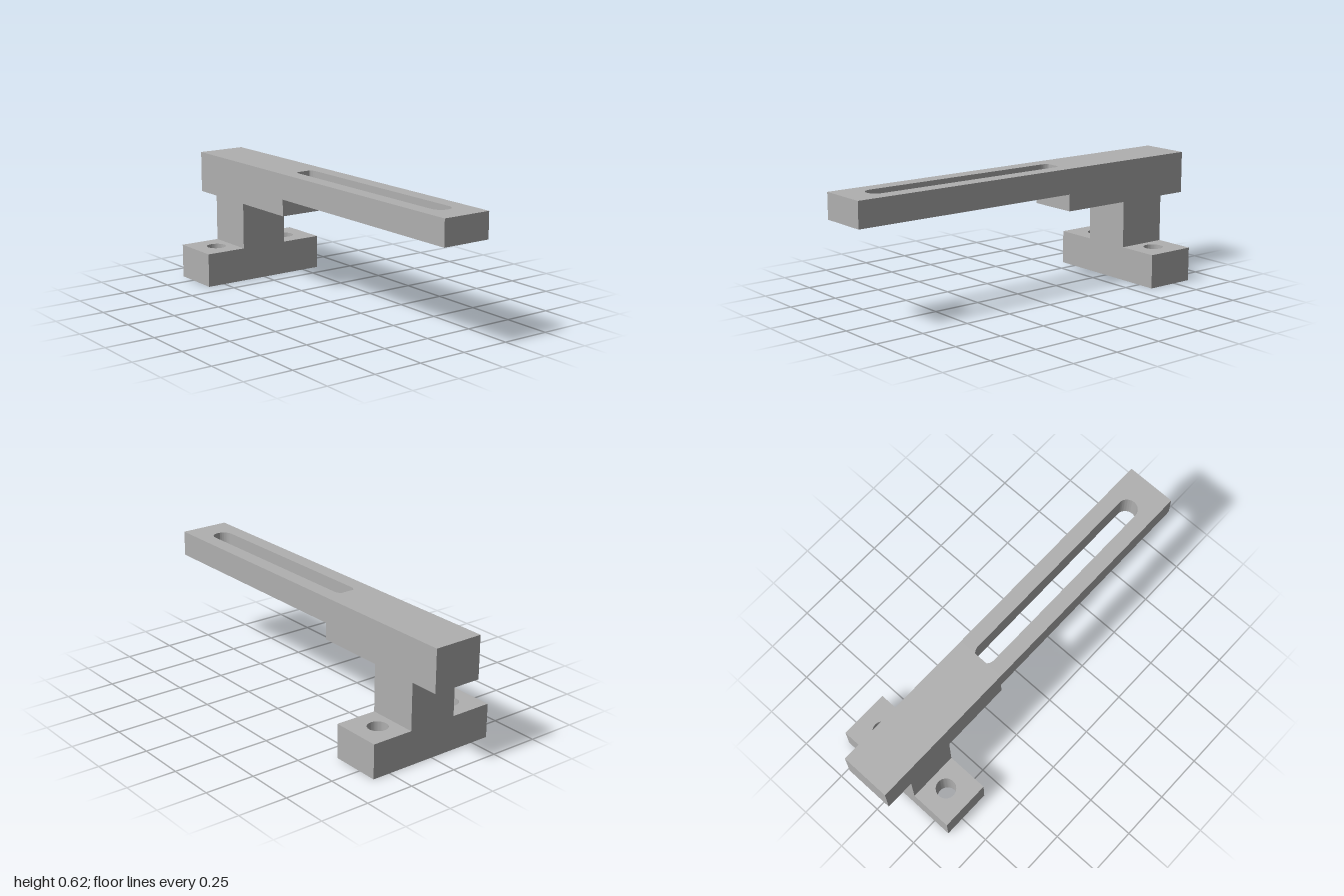
import * as THREE from 'three';
import { toCreasedNormals } from 'three/addons/utils/BufferGeometryUtils.js';

export function createModel() {
  const group = new THREE.Group();
  const metal = new THREE.MeshStandardMaterial({ color: 0xb0b0b0 });
  metal.name = 'grey metal';

  const W = 0.128;                      // half width of arm and column
  const STEP = -0.226;                  // z where the thick part of the arm ends
  const BACK = -0.85, FRONT = -0.59;    // z range of the foot

  function add(name, geometry) {
    const mesh = new THREE.Mesh(geometry, metal);
    mesh.name = name;
    group.add(mesh);
  }

  // Plan-view shape (shape y = -z) raised from y0 to y1
  function slab(name, shape, y0, y1) {
    const geo = new THREE.ExtrudeGeometry(shape, { depth: y1 - y0, bevelEnabled: false, curveSegments: 24 });
    geo.rotateX(-Math.PI / 2).translate(0, y0, 0);
    add(name, toCreasedNormals(geo, 0.6));
  }

  function block(name, y0, y1, z0, z1) {
    const geo = new THREE.BoxGeometry(2 * W, y1 - y0, z1 - z0);
    add(name, geo.translate(0, (y0 + y1) / 2, (z0 + z1) / 2));
  }

  // Thin front arm: the slot's rear round is cut off by the thick rear block
  const r = 0.051, rear = 0.19;
  const a = Math.asin((-STEP - rear) / r);
  const arm = new THREE.Shape();
  arm.moveTo(-W, -1);
  arm.lineTo(W, -1);
  arm.lineTo(W, -STEP);
  arm.absarc(0, rear, r, a, 0, true);
  arm.absarc(0, -0.82, r, 0, -Math.PI, true);
  arm.absarc(0, rear, r, Math.PI, Math.PI - a, true);
  arm.lineTo(-W, -STEP);
  arm.closePath();
  slab('slottedArm', arm, 0.496, 0.625);

  // Thick rear of the arm and the column under it
  block('armRear', 0.411, 0.625, -1, STEP);
  block('column', 0.173, 0.411, BACK, FRONT);

  // Foot with two bolt holes
  const F = 0.3435;
  const foot = new THREE.Shape([[-F, -FRONT], [F, -FRONT], [F, -BACK], [-F, -BACK]]
    .map(([x, y]) => new THREE.Vector2(x, y)));
  for (const side of [-1, 1]) {
    const hole = new THREE.Path();
    hole.absarc(side * 0.215, 0.72, 0.05, 0, Math.PI * 2, true);
    foot.holes.push(hole);
  }
  slab('foot', foot, 0, 0.173);

  return group;
}
